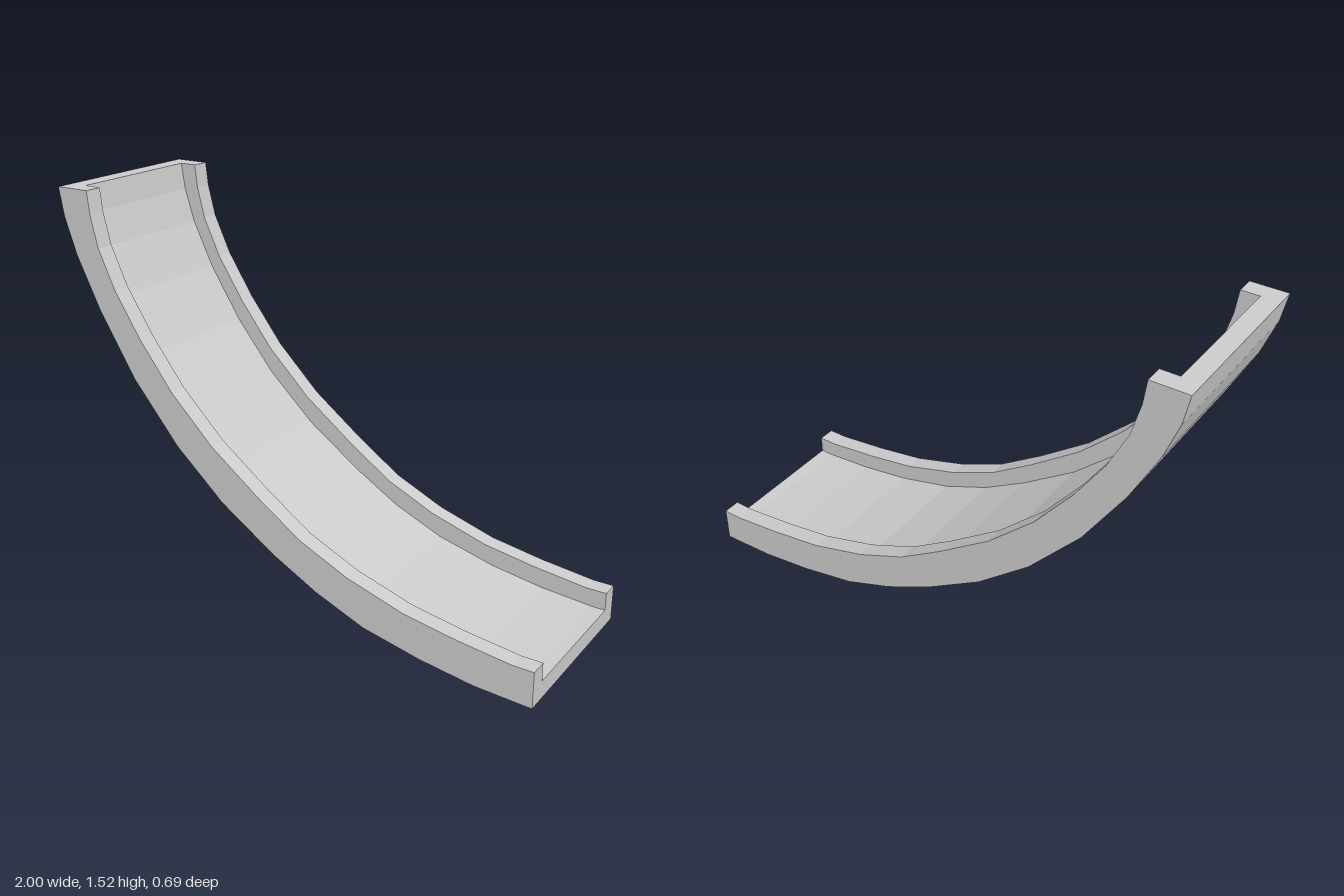
import * as THREE from 'three';

// Stations along the bend: outer (underside) and inner (rail top) points in x, y
const STATIONS = [
  [-1, 1.52, -0.86, 1.52], [-0.98, 1.41, -0.85, 1.43], [-0.93, 1.27, -0.82, 1.31],
  [-0.83, 1.07, -0.75, 1.16], [-0.68, 0.83, -0.64, 0.99], [-0.485, 0.6, -0.5, 0.81],
  [-0.28, 0.42, -0.32, 0.635], [-0.05, 0.27, -0.11, 0.48], [0.14, 0.17, 0.07, 0.36],
  [0.34, 0.09, 0.27, 0.27], [0.57, 0.04, 0.5, 0.2], [0.78, 0.01, 0.71, 0.165],
  [0.97, 0.001, 0.92, 0.14], [1, 0, 1, 0.14],
];
const OUTER_HALF = 0.345;
const INNER_HALF = 0.275;

// U-shaped cross-section; the floor lies halfway between underside and rail top
function section([ox, oy, ix, iy]) {
  const o = [ox, oy], i = [ix, iy], m = [(ox + ix) / 2, (oy + iy) / 2];
  const half = [[o, OUTER_HALF], [i, OUTER_HALF], [i, INNER_HALF], [m, INNER_HALF]];
  return [
    ...half.map(([p, z]) => [...p, -z]),
    ...half.reverse().map(([p, z]) => [...p, z]),
  ];
}

function channelGeometry() {
  const rings = STATIONS.map(section);
  const positions = [];
  const quad = (a, b, c, d) => positions.push(...a, ...b, ...c, ...a, ...c, ...d);

  // Long faces between neighbouring sections
  for (let k = 0; k < rings.length - 1; k++) {
    const r = rings[k], s = rings[k + 1];
    for (let j = 0; j < 8; j++) {
      const n = (j + 1) % 8;
      quad(r[j], r[n], s[n], s[j]);
    }
  }

  // U-shaped end caps
  const first = rings[0], last = rings[rings.length - 1];
  for (const [a, b, c, d] of [[0, 1, 2, 3], [0, 3, 4, 7], [4, 5, 6, 7]]) {
    quad(first[d], first[c], first[b], first[a]);
    quad(last[a], last[b], last[c], last[d]);
  }

  const geometry = new THREE.BufferGeometry();
  geometry.setAttribute('position', new THREE.Float32BufferAttribute(positions, 3));
  geometry.computeVertexNormals();
  return geometry;
}

export function createModel() {
  const group = new THREE.Group();
  group.name = 'curvedChute';
  const channel = new THREE.Mesh(
    channelGeometry(),
    new THREE.MeshStandardMaterial({ color: 0xcccccc, flatShading: true }),
  );
  channel.name = 'curvedChannel';
  group.add(channel);
  return group;
}
